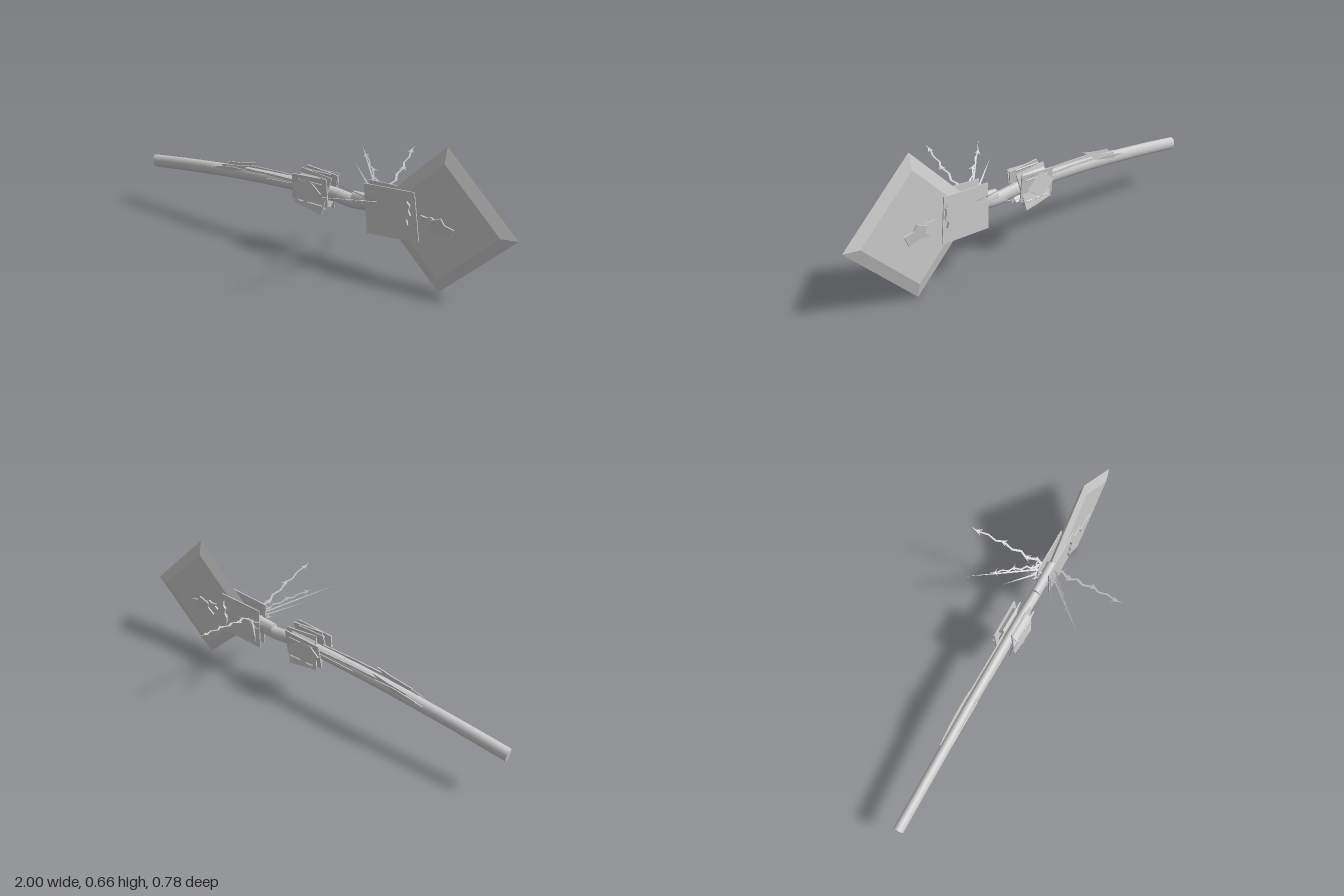
import * as THREE from 'three';

const mat = new THREE.MeshStandardMaterial({ color: 0xcccccc, side: THREE.DoubleSide });
const flat = new THREE.MeshStandardMaterial({ color: 0xcccccc, side: THREE.DoubleSide, flatShading: true });

function add(parent, name, geometry, material = flat) {
  const mesh = new THREE.Mesh(geometry, material);
  mesh.name = name;
  parent.add(mesh);
  return mesh;
}

const toShape = (pts) => new THREE.Shape(pts.map(([x, y]) => new THREE.Vector2(x, y)));

// Thin plate from an outline in x,y, centred on depth z and leaning by tilt about its own middle
function plate(parent, name, pts, z, thickness = 0.006, tilt = 0) {
  const cy = pts.reduce((s, p) => s + p[1], 0) / pts.length;
  const geo = new THREE.ExtrudeGeometry(toShape(pts.map(([x, y]) => [x, y - cy])), { depth: thickness, bevelEnabled: false });
  geo.translate(0, 0, -thickness / 2).rotateX(tilt).translate(0, cy, z);
  return add(parent, name, geo);
}

// Flat spike from a to b; jag > 0 makes a barbed zigzag
function spike(parent, name, a, b, width, jag = 0) {
  const from = new THREE.Vector3(...a), dir = new THREE.Vector3(...b).sub(from);
  const len = dir.length(), n = jag ? 9 : 2;
  const upper = [], lower = [];
  dir.normalize();
  for (let i = 0; i < n; i++) {
    const t = i / n, w = width * (1 - 0.5 * t) / 2;
    const mid = jag * (i % 2 ? 1 : -1) * (1 - 0.6 * t);
    upper.push([t * len, mid + w]);
    lower.unshift([t * len, mid - w]);
    if (jag && i % 3 === 2) {
      upper.push([(t - 0.03) * len, mid + w + 0.014], [(t + 0.04) * len, mid + w]);
      lower.unshift([(t - 0.03) * len, mid - w - 0.012]);
      lower.unshift([(t + 0.04) * len, mid - w]);
    }
  }
  const geo = new THREE.ShapeGeometry(toShape([...upper, [len, 0], ...lower]));
  const side = new THREE.Vector3(1, 0, 0).addScaledVector(dir, -dir.x).normalize();
  geo.applyMatrix4(new THREE.Matrix4().makeBasis(dir, side, dir.clone().cross(side)).setPosition(from));
  add(parent, name, geo);
}

// Diamond blade: two square faces with a bevel down to a sharp rim
function bladeGeometry() {
  const rings = [[0, 0.018], [0.26, 0.018], [0.33, 0], [0.26, -0.018], [0, -0.018]];
  const pos = [], index = [];
  for (const [r, z] of rings)
    for (let k = 0; k < 4; k++) pos.push(r * Math.cos(k * Math.PI / 2), r * Math.sin(k * Math.PI / 2), z);
  for (let i = 0; i < rings.length - 1; i++)
    for (let k = 0; k < 4; k++) {
      const a = i * 4 + k, b = i * 4 + (k + 1) % 4;
      index.push(a, a + 4, b, b, a + 4, b + 4);
    }
  const geo = new THREE.BufferGeometry();
  geo.setAttribute('position', new THREE.Float32BufferAttribute(pos, 3));
  geo.setIndex(index);
  geo.computeVertexNormals();
  return geo;
}

export function createModel() {
  const model = new THREE.Group();
  model.name = 'halberd';

  // Curved oval handle with end caps
  const path = new THREE.CatmullRomCurve3([
    [-0.998, 0.258], [-0.8, 0.281], [-0.6, 0.301], [-0.4, 0.318], [-0.15, 0.331],
    [0.05, 0.335], [0.15, 0.33], [0.22, 0.322], [0.29, 0.327], [0.4, 0.335],
  ].map(([x, y]) => new THREE.Vector3(x, y, 0)));
  const handle = new THREE.Group();
  handle.name = 'handle';
  handle.scale.z = 0.72;
  model.add(handle);
  add(handle, 'shaft', new THREE.TubeGeometry(path, 80, 0.033, 20, false), mat);
  for (const t of [0, 1]) {
    const cap = add(handle, 'shaftCap', new THREE.CircleGeometry(0.033, 20), mat);
    const p = path.getPoint(t);
    cap.position.copy(p);
    cap.lookAt(p.clone().addScaledVector(path.getTangent(t), t ? 1 : -1));
  }
  // Swelling where the shaft enters the head
  const socket = add(model, 'socket', new THREE.CylinderGeometry(0.045, 0.036, 0.16, 16), mat);
  socket.rotation.z = -Math.PI / 2;
  socket.scale.z = 0.62;
  socket.position.set(0.31, 0.335, 0);

  add(model, 'blade', bladeGeometry(), flat).position.set(0.668, 0.333, 0);

  for (const s of [1, -1]) {
    const side = new THREE.Group();
    side.name = s > 0 ? 'frontOrnaments' : 'backOrnaments';
    model.add(side);

    // Cheek panel over the root of the blade
    plate(side, 'cheekPanel', s > 0
      ? [[0.3, 0.432], [0.545, 0.445], [0.577, 0.225], [0.322, 0.2]]
      : [[0.295, 0.43], [0.53, 0.435], [0.55, 0.222], [0.3, 0.213]], s * 0.027, 0.005);

    // Overlapping binding plates around the shaft
    plate(side, 'bindingPlate', [[-0.035, 0.433], [0.13, 0.415], [0.095, 0.237], [-0.058, 0.265]], s * 0.036, 0.006, -s * 0.16);
    plate(side, 'bindingPlate', [[-0.068, 0.405], [0.12, 0.415], [0.118, 0.278], [-0.078, 0.275]], s * 0.042, 0.006, s * 0.12);
    plate(side, 'bindingDiamond', [[-0.072, 0.345], [0.005, 0.408], [0.092, 0.338], [0.01, 0.28]], s * 0.053, 0.006, -s * 0.08);
    for (const up of [1, -1]) {
      const lame = add(side, 'bindingLame', new THREE.BoxGeometry(0.13, 0.045, 0.006));
      lame.position.set(0.03, 0.332 + up * 0.065, s * 0.035);
      lame.rotation.x = -s * up * 0.8;
    }

    // Thorny vine along the shaft
    plate(side, 'thornVine', [
      [-0.6, 0.318], [-0.5, 0.33], [-0.52, 0.347], [-0.42, 0.36], [-0.34, 0.377], [-0.37, 0.357],
      [-0.2, 0.362], [-0.04, 0.362], [-0.04, 0.35], [-0.25, 0.351], [-0.4, 0.343], [-0.47, 0.322],
    ], s * 0.022, 0.005);
    plate(side, 'thornLeaf', [[-0.57, 0.327], [-0.46, 0.348], [-0.36, 0.35], [-0.44, 0.331], [-0.51, 0.318]], s * 0.026, 0.004, s * 0.15);
    plate(side, 'thornTendril', [[-0.24, 0.335], [-0.06, 0.345], [-0.06, 0.337]], s * 0.025, 0.004);

    // Small jagged relief on the panel
    plate(side, 'panelBolt', [
      [0.505, 0.275], [0.5, 0.31], [0.513, 0.328], [0.505, 0.36], [0.518, 0.375], [0.515, 0.4],
      [0.53, 0.385], [0.525, 0.362], [0.535, 0.34], [0.518, 0.318], [0.525, 0.295],
    ], s * 0.034, 0.012);

    // Shard and curl on the blade face
    plate(side, 'bladeShard', [
      [0.6, 0.28], [0.632, 0.31], [0.625, 0.34], [0.675, 0.362], [0.69, 0.335], [0.735, 0.323],
      [0.712, 0.27], [0.66, 0.29],
    ], s * 0.029, 0.006, s * 0.12);
    plate(side, 'bladeCurl', [
      [0.57, 0.322], [0.585, 0.335], [0.578, 0.35], [0.605, 0.345], [0.625, 0.353], [0.645, 0.34],
      [0.615, 0.335], [0.6, 0.325], [0.59, 0.318],
    ], s * 0.024, 0.008);

    // Fan of straight and lightning spikes
    spike(side, 'longBolt', [0.37, 0.36, s * 0.025], [0.32, 0.49, s * 0.388], 0.014, 0.009);
    spike(side, 'shortBolt', [0.37, 0.36, s * 0.025], [0.16, 0.49, s * 0.2], 0.01, 0.007);
    spike(side, 'longSpike', [0.34, 0.365, s * 0.03], [0.09, 0.495, s * 0.283], 0.009);
    spike(side, 'shortSpike', [0.33, 0.36, s * 0.02], [0.15, 0.455, s * 0.13], 0.009);
    spike(side, 'rootBolt', [0.28, 0.365, s * 0.03], [0.385, 0.385, s * 0.07], 0.01, 0.008);
  }
  return model;
}
